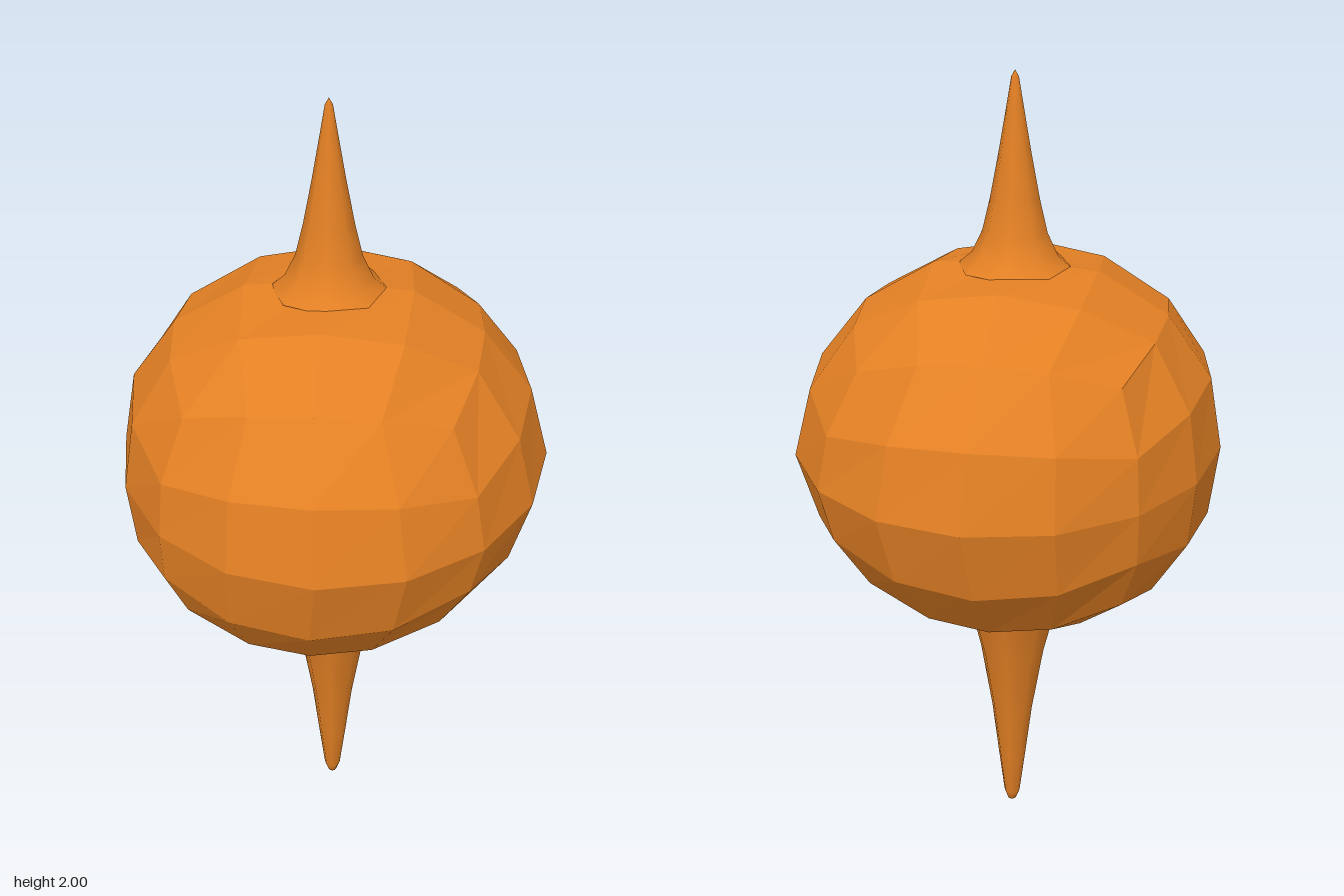
import * as THREE from 'three';

const orange = new THREE.MeshStandardMaterial({ color: 0xe38024, flatShading: true });
orange.name = 'orange';
const orangeSmooth = new THREE.MeshStandardMaterial({ color: 0xe38024 });
orangeSmooth.name = 'orange smooth';

// Faceted ellipsoid made by rounding a 4 x 4 x 4 box at equal angles
function createBody() {
  const geometry = new THREE.BoxGeometry(2, 2, 2, 4, 4, 4);
  const p = geometry.attributes.position;
  const v = new THREE.Vector3();
  const warp = (t) => Math.tan((t * Math.PI) / 4);
  for (let i = 0; i < p.count; i++) {
    v.set(warp(p.getX(i)), warp(p.getY(i)), warp(p.getZ(i))).normalize();
    // Slight sideways lean away from the equator, flattened poles
    const lean = v.y < 0 ? 0.028 : 0.014;
    const x = v.x * 0.527 - lean * Math.min(1, Math.abs(v.y) * 1.6);
    const y = THREE.MathUtils.clamp(1.1 + v.y * 0.47, 0.675, 1.55);
    p.setXYZ(i, x, y, v.z * 0.605);
  }
  geometry.computeVertexNormals();
  const mesh = new THREE.Mesh(geometry, orange);
  mesh.name = 'body';
  return mesh;
}

// Eight-sided spike turned from a profile of [radius, height], listed upwards
function createSpike(name, profile, x) {
  const points = profile.map(([r, y]) => new THREE.Vector2(r, y));
  const mesh = new THREE.Mesh(new THREE.LatheGeometry(points, 8), orangeSmooth);
  mesh.name = name;
  mesh.position.x = x;
  return mesh;
}

export function createModel() {
  const group = new THREE.Group();
  group.name = 'spinningTop';
  group.add(
    createBody(),
    createSpike('upperSpike', [
      [0.14, 1.535], [0.105, 1.565], [0.079, 1.62], [0.06, 1.7],
      [0.039, 1.81], [0.02, 1.92], [0.009, 1.985], [0, 2],
    ], -0.013),
    createSpike('lowerSpike', [
      [0, 0], [0.011, 0.004], [0.021, 0.03], [0.036, 0.15], [0.054, 0.3],
      [0.084, 0.48], [0.122, 0.635], [0.14, 0.67], [0.17, 0.7],
    ], -0.007),
  );
  return group;
}
